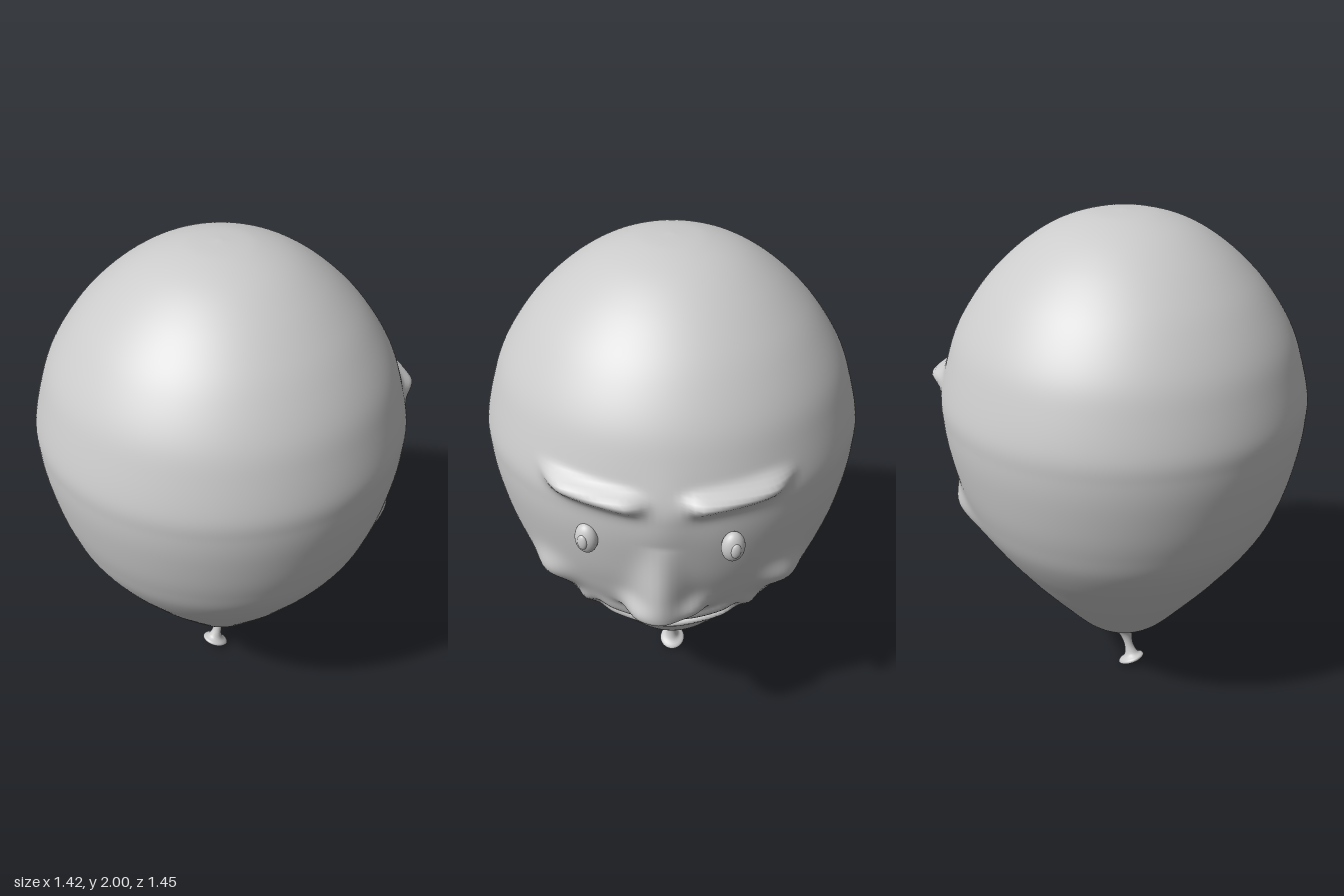
import * as THREE from 'three';
import { mergeVertices } from 'three/addons/utils/BufferGeometryUtils.js';

const grey = new THREE.MeshStandardMaterial({ color: 0xcccccc, side: THREE.DoubleSide });
const gauss = (d, s) => Math.exp(-(d * d) / (2 * s * s));
const step = THREE.MathUtils.smoothstep;

// Radius and height from the knotted lip up to the crown
const lip = [[0, 0.035], [0.035, 0.022], [0.052, 0.022], [0.052, 0.034], [0.03, 0.05], [0.021, 0.08],
  [0.02, 0.11], [0.027, 0.145], [0.042, 0.175], [0.07, 0.202], [0.1, 0.217]];
const body = [[0.1, 0.217], [0.15, 0.248], [0.205, 0.295], [0.29, 0.39], [0.38, 0.495], [0.44, 0.57], [0.53, 0.69],
  [0.597, 0.8], [0.637, 0.9], [0.667, 1.0], [0.694, 1.13], [0.705, 1.23], [0.705, 1.32], [0.674, 1.45],
  [0.635, 1.56], [0.57, 1.67], [0.49, 1.77], [0.38, 1.87], [0.26, 1.945], [0.13, 1.988], [0, 2]];

function spline(points, n) {
  const curve = new THREE.SplineCurve(points.map(p => new THREE.Vector2(...p)));
  return curve.getSpacedPoints(n).map(p => p.setX(Math.max(p.x, 0)));
}

// How far the skin of the face is pushed out at (x, y)
function relief(x, y) {
  const ax = Math.abs(x);
  let d = 0;
  // brows: long soft ridges, steeper along the top edge
  const browY = 1.325 + 0.09 * ax;
  d += 0.055 * gauss(y - browY, y > browY ? 0.02 : 0.032) * step(ax, 0.03, 0.13) * (1 - step(ax, 0.33, 0.46));
  d += 0.012 * gauss(x, 0.06) * gauss(y - 1.25, 0.1);
  // nose: a wedge widening downwards, cut off flat underneath
  const k = THREE.MathUtils.clamp((1.14 - y) / 0.35, 0, 1);
  const width = 0.035 + 0.035 * k;
  d += 0.118 * k * step(y, 0.735, 0.79) * gauss(x - 0.015, width);
  d += 0.035 * gauss(ax - 0.1, 0.035) * gauss(y - 0.81, 0.035);
  // cheeks
  d += 0.045 * gauss(ax - 0.42, 0.05) * gauss(y - 0.86, 0.055);
  // smiling mouth: groove between two lips, with raised corners
  const m = y - (0.592 + 1.3 * x * x);
  const span = 1 - step(ax, 0.2, 0.29);
  d += span * (0.022 * gauss(m - 0.06, 0.03) - 0.04 * gauss(m, 0.016) + 0.02 * gauss(m + 0.045, 0.022));
  d += 0.025 * gauss(ax - 0.3, 0.025) * gauss(y - 0.7, 0.045);
  // chin
  d += 0.012 * gauss(x, 0.06) * gauss(y - 0.51, 0.03);
  return d;
}

function makeBalloon() {
  const profile = [...spline(lip, 34), ...spline(body, 190).slice(1)];
  let geo = new THREE.LatheGeometry(profile, 180);
  const pos = geo.attributes.position;
  for (let i = 0; i < pos.count; i++) {
    let x = pos.getX(i), y = pos.getY(i), z = pos.getZ(i);
    const r = Math.hypot(x, z);
    if (z < 0 && y > 0.4 && y < 1.6) {
      const d = relief(x, y) * step(-z / r, 0.25, 0.55);
      x += d * x / r;
      z += d * z / r;
    }
    // bend the neck and tip the lip towards the front
    const bend = 1 - step(y, 0.03, 0.2);
    y += 0.42 * z * (1 - step(y, 0.05, 0.1));
    z += 0.01 + 0.038 * bend;
    pos.setXYZ(i, x, y, z);
  }
  geo.deleteAttribute('uv');
  geo.deleteAttribute('normal');
  geo = mergeVertices(geo, 1e-5);
  geo.computeVertexNormals();
  const mesh = new THREE.Mesh(geo, grey);
  mesh.name = 'balloon';
  return mesh;
}

function makeEye(name, x, y, z) {
  const eye = new THREE.Group();
  eye.name = name;
  const add = (part, sx, sy, sz, dz) => {
    const mesh = new THREE.Mesh(new THREE.SphereGeometry(1, 28, 20), grey);
    mesh.name = part;
    mesh.scale.set(sx, sy, sz);
    mesh.position.z = dz;
    eye.add(mesh);
  };
  add('eyeball', 0.043, 0.06, 0.034, 0);
  add('pupil', 0.019, 0.03, 0.012, 0.029);
  eye.position.set(x, y, z);
  eye.rotation.y = Math.atan2(x, z);
  return eye;
}

export function createModel() {
  const model = new THREE.Group();
  model.name = 'balloonWithFace';
  model.add(makeBalloon(), makeEye('leftEye', 0.275, 1.14, -0.637), makeEye('rightEye', -0.235, 1.14, -0.667));
  return model;
}
